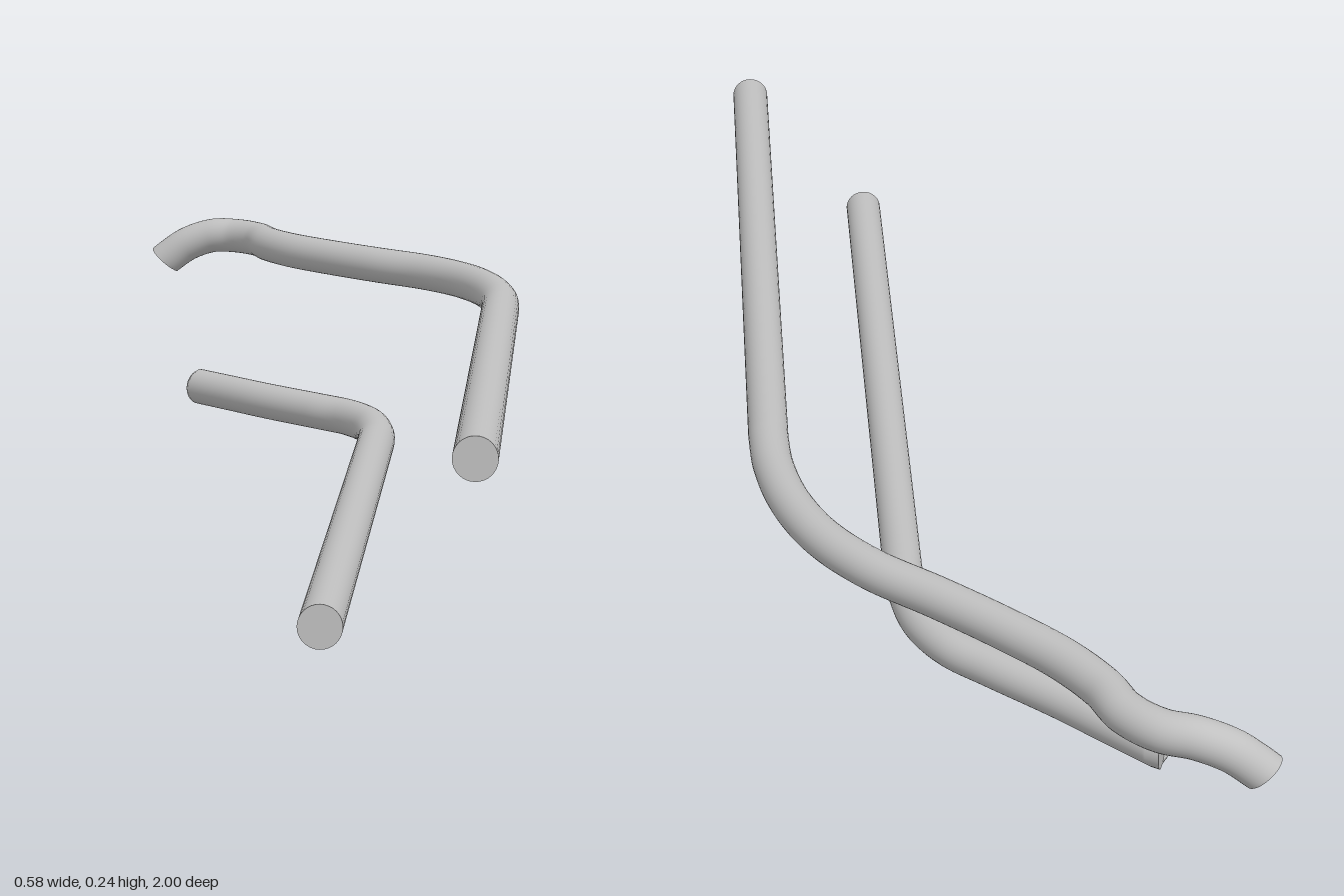
import * as THREE from 'three';

const RADIUS = 0.0255, SIDES = 32, STEPS = 120;
const UP = new THREE.Vector3(0, 1, 0);

const steel = new THREE.MeshStandardMaterial({ color: 0xc0c0c0 });
steel.name = 'brushed steel';

// Round bar swept along a curve, with closed ends; the far end is cut square to endNormal
function sweptBar(points, endNormal) {
  const curve = new THREE.CatmullRomCurve3(points.map(p => new THREE.Vector3(...p)));
  // Even steps over the bend only; the straight run is the first section
  const centres = [curve.getPoint(0)], normals = [new THREE.Vector3(0, 0, -1)];
  const first = 1 / (points.length - 1);
  for (let i = 0; i <= STEPS; i++) {
    const t = first + (1 - first) * i / STEPS;
    centres.push(curve.getPoint(t));
    normals.push(curve.getTangent(t));
  }
  normals[1].set(0, 0, -1);
  normals[normals.length - 1].set(...endNormal).normalize();

  const pos = [], index = [];
  const ring = (c, n, cap) => {
    const side = new THREE.Vector3().crossVectors(UP, n).normalize();
    const top = new THREE.Vector3().crossVectors(n, side);
    const start = pos.length / 3;
    for (let j = 0; j < SIDES; j++) {
      const a = j / SIDES * Math.PI * 2;
      const p = c.clone().addScaledVector(side, RADIUS * Math.cos(a)).addScaledVector(top, RADIUS * Math.sin(a));
      pos.push(p.x, p.y, p.z);
    }
    if (cap) pos.push(c.x, c.y, c.z);
    return start;
  };
  // Wall
  centres.forEach((c, i) => {
    const s = ring(c, normals[i], false);
    if (i === 0) return;
    for (let j = 0; j < SIDES; j++) {
      const k = (j + 1) % SIDES, p = s - SIDES;
      index.push(p + j, p + k, s + j, p + k, s + k, s + j);
    }
  });
  // End caps, with their own vertices so the rims stay sharp
  [0, centres.length - 1].forEach((i, end) => {
    const s = ring(centres[i], normals[i], true);
    for (let j = 0; j < SIDES; j++) {
      const k = (j + 1) % SIDES;
      if (end) index.push(s + SIDES, s + j, s + k);
      else index.push(s + SIDES, s + k, s + j);
    }
  });
  const g = new THREE.BufferGeometry();
  g.setAttribute('position', new THREE.Float32BufferAttribute(pos, 3));
  g.setIndex(index);
  g.computeVertexNormals();
  return g;
}

export function createModel() {
  const model = new THREE.Group();
  model.name = 'bentPipes';
  const add = (name, points, endNormal) => {
    const mesh = new THREE.Mesh(sweptBar(points, endNormal), steel);
    mesh.name = name;
    model.add(mesh);
  };

  // Upper pipe: straight run, S-bend, then a hooked end turning down
  const hi = 0.2145;
  add('upperPipe', [
    [0.264, hi, 1], [0.264, hi, -0.17], [0.258, hi, -0.27], [0.238, hi, -0.37], [0.203, hi, -0.46],
    [0.15, hi, -0.54], [0.075, hi, -0.617], [0, hi, -0.7], [-0.06, hi, -0.775],
    [-0.1, hi, -0.845], [-0.122, hi, -0.905], [-0.158, hi, -0.947],
    [-0.195, 0.213, -0.962], [-0.235, 0.199, -0.97], [-0.271, 0.174, -0.975],
  ], [-0.66, -0.75, -0.08]);

  // Lower pipe: straight run and a single bend with a slanted cut
  const lo = RADIUS;
  add('lowerPipe', [
    [0.095, lo, 1], [0.095, lo, -0.19], [0.091, lo, -0.26], [0.077, lo, -0.335], [0.045, lo, -0.4],
    [0, lo, -0.45], [-0.08, lo, -0.535], [-0.14, lo, -0.605], [-0.191, lo, -0.664],
  ], [-0.96, 0, -0.27]);

  return model;
}
